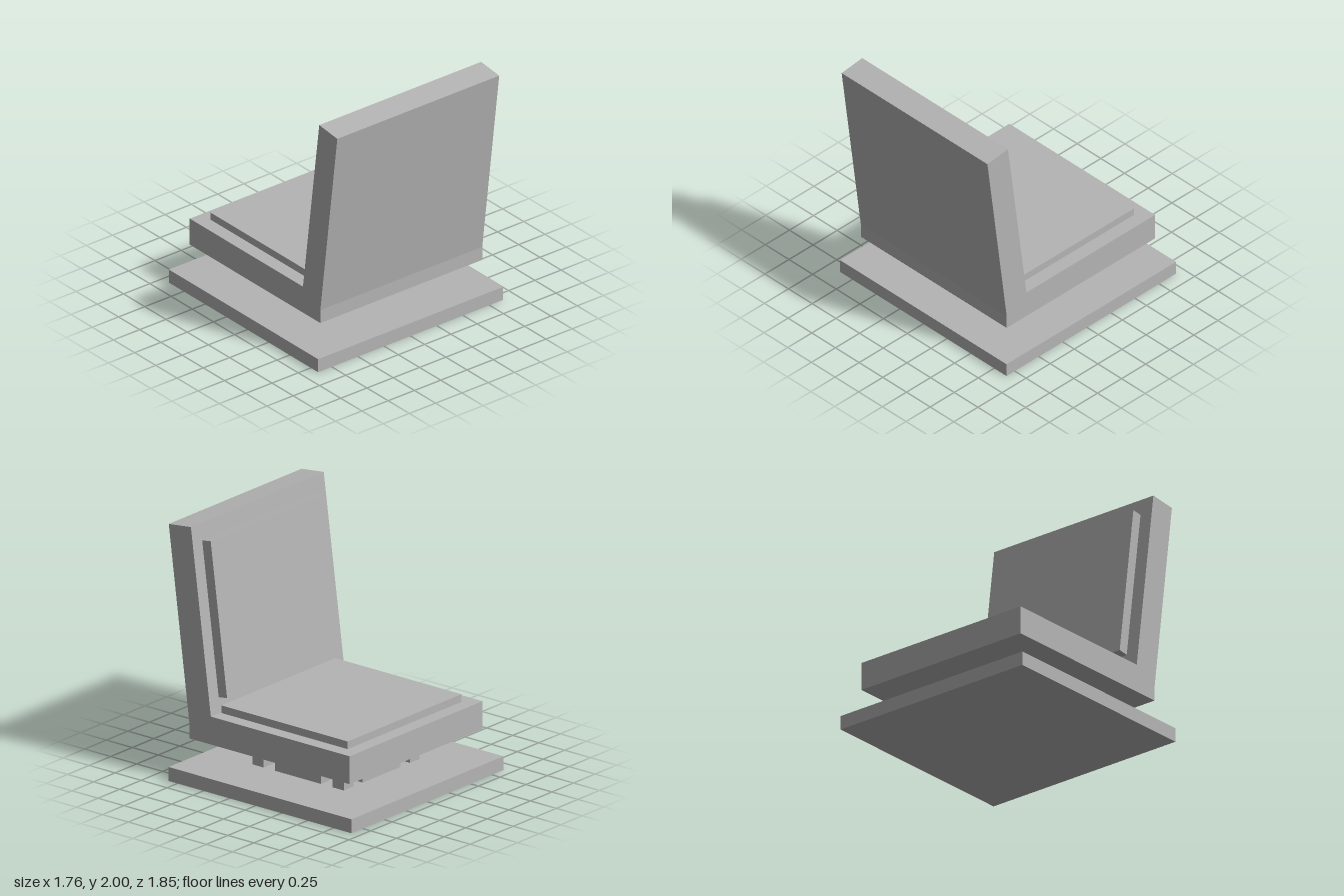
import * as THREE from 'three';

export function createModel() {
  const model = new THREE.Group();
  model.name = 'chair';
  const grey = new THREE.MeshStandardMaterial({ color: 0xb4b4b4 });
  grey.name = 'light grey';

  const add = (name, geometry) => {
    const mesh = new THREE.Mesh(geometry, grey);
    mesh.name = name;
    model.add(mesh);
    return mesh;
  };

  // Box given by its x, y and z ranges
  const box = (name, [x0, x1], [y0, y1], [z0, z1]) =>
    add(name, new THREE.BoxGeometry(x1 - x0, y1 - y0, z1 - z0))
      .position.set((x0 + x1) / 2, (y0 + y1) / 2, (z0 + z1) / 2);

  // Side profile of [z, y] points, extruded across x
  const profile = (name, points, halfWidth) => {
    const shape = new THREE.Shape(points.map(([z, y]) => new THREE.Vector2(z, y)));
    const geometry = new THREE.ExtrudeGeometry(shape, { depth: halfWidth * 2, bevelEnabled: false });
    geometry.translate(0, 0, -halfWidth).rotateY(-Math.PI / 2);
    add(name, geometry);
  };

  // Floor plate
  box('basePlate', [-0.88, 0.88], [0, 0.11], [-0.925, 0.835]);

  // Ring of supports: a post at each corner, a wide block on each side
  const centreZ = -0.045;
  for (const i of [-1, 0, 1]) {
    for (const j of [-1, 0, 1]) {
      if (i === 0 && j === 0) continue;
      const x = i * 0.385, z = centreZ + j * 0.385;
      const w = i ? 0.055 : 0.22, d = j ? 0.055 : 0.22;
      box(i && j ? 'cornerPost' : 'supportBlock', [x - w, x + w], [0.11, 0.33], [z - d, z + d]);
    }
  }

  // Seat and leaning backrest in one L-shaped body
  profile('seatAndBackrest', [
    [-0.815, 0.33], [0.725, 0.33], [0.725, 0.44], [0.925, 1.975],
    [0.712, 2.0], [0.52, 0.55], [-0.815, 0.55],
  ], 0.77);

  // Cushions
  box('seatCushion', [-0.66, 0.66], [0.55, 0.61], [-0.705, 0.51]);
  profile('backCushion', [[0.455, 0.68], [0.54, 0.668], [0.697, 1.868], [0.613, 1.88]], 0.66);

  return model;
}
